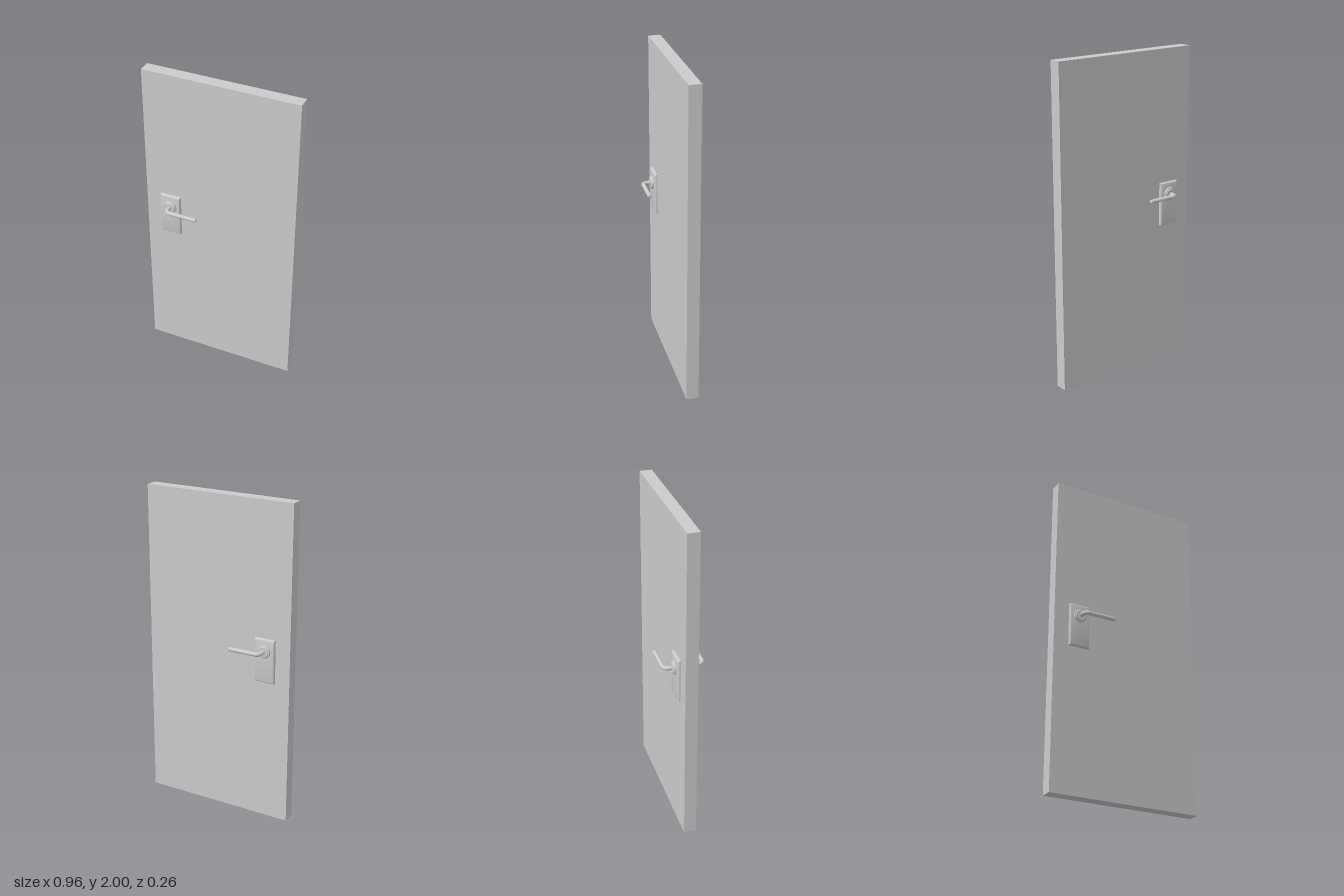
import * as THREE from 'three';
import { toCreasedNormals } from 'three/addons/utils/BufferGeometryUtils.js';

const material = new THREE.MeshStandardMaterial({ color: 0xcccccc });

function part(name, geometry, x = 0, y = 0, z = 0) {
  const mesh = new THREE.Mesh(geometry, material);
  mesh.name = name;
  mesh.position.set(x, y, z);
  return mesh;
}

// Rectangular plate with a rounded bevel around its face
function plateGeometry(width, height, bevel) {
  const w = width / 2 - bevel, h = height / 2 - bevel;
  const shape = new THREE.Shape([[-w, -h], [w, -h], [w, h], [-w, h]].map(([x, y]) => new THREE.Vector2(x, y)));
  const geometry = new THREE.ExtrudeGeometry(shape, {
    depth: 0.02, bevelEnabled: true, bevelSize: bevel, bevelThickness: 0.012, bevelSegments: 4,
  });
  return toCreasedNormals(geometry, 0.6);
}

// Neck coming out of the rose, a round elbow, then a straight grip
function leverGeometry(radius, reach, out, bend) {
  const path = new THREE.CurvePath();
  const corner = new THREE.Vector3(0, 0, out);
  const a = new THREE.Vector3(0, 0, out - bend), b = new THREE.Vector3(bend, 0, out);
  const k = bend * 0.45;
  path.add(new THREE.LineCurve3(new THREE.Vector3(0, 0, 0.05), a));
  path.add(new THREE.CubicBezierCurve3(a, new THREE.Vector3(0, 0, corner.z - k), new THREE.Vector3(k, 0, corner.z), b));
  path.add(new THREE.LineCurve3(b, new THREE.Vector3(reach, 0, out)));
  return new THREE.TubeGeometry(path, 64, radius, 20, false);
}

// One handle set; side = 1 for the front, -1 for the back
function createHandle(side) {
  const handle = new THREE.Group();
  handle.name = side > 0 ? 'frontHandle' : 'backHandle';
  handle.position.set(-0.321, 1.1, 0);
  if (side < 0) handle.rotation.x = Math.PI;

  handle.add(part('backPlate', plateGeometry(0.132, 0.273, 0.014), 0, -0.061 * side, 0.025));

  // Stepped round rose
  const profile = [[0.042, 0.05], [0.042, 0.064], [0.04, 0.067], [0.034, 0.068], [0.031, 0.073], [0, 0.073]];
  const rose = new THREE.LatheGeometry(profile.map(([r, y]) => new THREE.Vector2(r, y)), 32);
  rose.rotateX(Math.PI / 2);
  handle.add(part('rose', toCreasedNormals(rose, 0.5)));

  const radius = 0.0128, reach = 0.198, out = 0.1195;
  handle.add(part('lever', leverGeometry(radius, reach, out, 0.028)));

  // Softly domed lever end
  const tip = new THREE.SphereGeometry(radius, 20, 8, 0, Math.PI * 2, 0, Math.PI / 2);
  tip.scale(1, 0.55, 1).rotateZ(-Math.PI / 2);
  handle.add(part('leverTip', tip, reach, 0, out));
  return handle;
}

export function createModel() {
  const door = new THREE.Group();
  door.name = 'door';
  door.add(part('doorLeaf', new THREE.BoxGeometry(0.964, 2, 0.076), 0, 1, 0));
  for (const side of [1, -1]) door.add(createHandle(side));
  return door;
}
